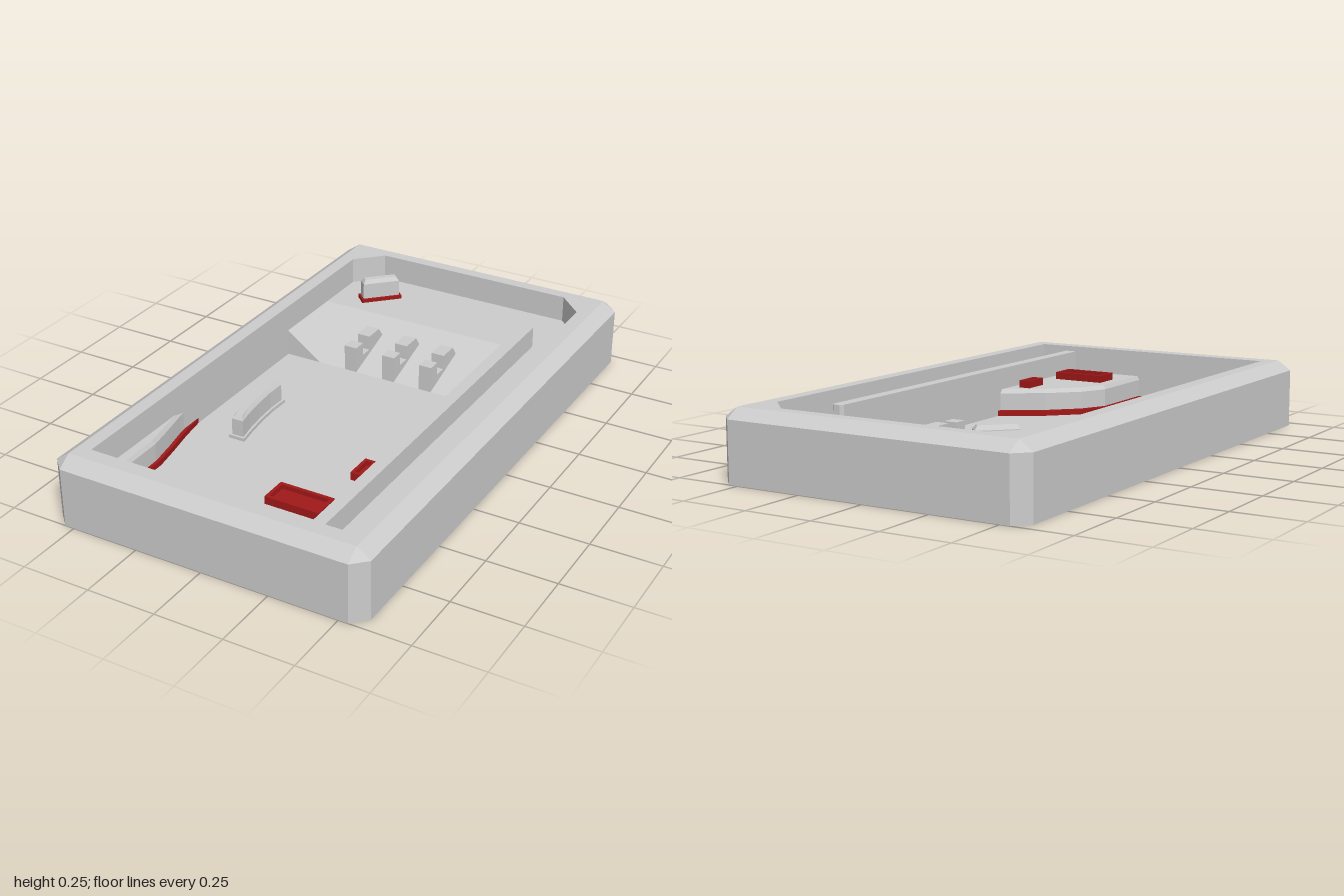
import * as THREE from 'three';

const grey = new THREE.MeshStandardMaterial({ color: 0xcccccc, flatShading: true });
const red = new THREE.MeshStandardMaterial({ color: 0xa01818, flatShading: true });

// Solid through stacked loops; each loop is { y, p: [[x, z], ...] }, counter-clockwise from above
function loft(loops) {
  const pos = [];
  const at = (l, i) => [l.p[i % l.p.length][0], l.y, l.p[i % l.p.length][1]];
  const tri = (a, b, c) => pos.push(...a, ...b, ...c);
  for (let k = 0; k < loops.length - 1; k++) {
    const lo = loops[k], hi = loops[k + 1];
    for (let i = 0; i < lo.p.length; i++) {
      tri(at(lo, i), at(lo, i + 1), at(hi, i + 1));
      tri(at(lo, i), at(hi, i + 1), at(hi, i));
    }
  }
  const cap = (l, up) => {
    const flat = l.p.map(([x, z]) => new THREE.Vector2(x, -z));
    for (const [a, b, c] of THREE.ShapeUtils.triangulateShape(flat, [])) {
      if (up) tri(at(l, a), at(l, b), at(l, c));
      else tri(at(l, a), at(l, c), at(l, b));
    }
  };
  cap(loops[0], false);
  cap(loops[loops.length - 1], true);
  const g = new THREE.BufferGeometry();
  g.setAttribute('position', new THREE.Float32BufferAttribute(pos, 3));
  g.computeVertexNormals();
  return g;
}

const ccw = (p) => (THREE.ShapeUtils.isClockWise(p.map(([x, z]) => new THREE.Vector2(x, -z))) ? [...p].reverse() : p);
const rect = (x0, x1, z0, z1) => [[x1, z1], [x1, z0], [x0, z0], [x0, z1]];

// Extrudes a (z, y) side profile across x
function sideExtrude(profile, x0, x1) {
  const s = new THREE.Shape(profile.map(([z, y]) => new THREE.Vector2(-z, y)));
  const g = new THREE.ExtrudeGeometry(s, { depth: x1 - x0, bevelEnabled: false });
  return g.rotateY(Math.PI / 2).translate(x0, 0, 0);
}

export function createModel() {
  const model = new THREE.Group();
  const add = (name, geo, mat = grey, parent = model) => {
    const m = new THREE.Mesh(geo, mat);
    m.name = name;
    parent.add(m);
    return m;
  };
  const FLOOR = 0.05, DECK = 0.15;

  // Cabinet tray: chamfered outside, bevelled rim, recessed floor
  const outer = [[0.535, 1], [0.585, 0.95], [0.585, -0.95], [0.535, -1],
    [-0.535, -1], [-0.585, -0.95], [-0.585, 0.95], [-0.535, 1]];
  const rim = rect(-0.535, 0.535, -0.95, 0.95).flatMap((c) => [c, c]);
  const opening = [[0.485, 0.895], [0.485, 0.895], [0.485, -0.81], [0.39, -0.905],
    [-0.39, -0.905], [-0.485, -0.81], [-0.485, 0.895], [-0.485, 0.895]];
  add('cabinet', loft([
    { y: 0, p: outer }, { y: 0.215, p: outer }, { y: 0.25, p: rim },
    { y: 0.25, p: opening }, { y: FLOOR, p: opening },
  ]));

  // Raised rear deck with ramp, and the side lane at deck height
  add('rampDeck', sideExtrude([[-0.31, FLOOR], [-0.605, DECK], [-0.905, DECK], [-0.905, FLOOR]], -0.485, 0.34));
  add('laneFloor', loft([{ y: FLOOR, p: rect(0.34, 0.485, -0.905, 0.895) }, { y: DECK, p: rect(0.34, 0.485, -0.905, 0.895) }]));

  // Triangular wedge beside the ramp
  const wedge = [[-0.345, -0.31], [-0.485, -0.605], [-0.485, -0.31]];
  const wedgeTop = [[-0.345, -0.31], [-0.485, -0.605], [-0.485, -0.31]];
  const wedgeGeo = loft([{ y: FLOOR, p: ccw(wedge) }, { y: DECK, p: ccw(wedgeTop) }]);
  const wp = wedgeGeo.attributes.position;
  for (let i = 0; i < wp.count; i++) if (wp.getX(i) > -0.4) wp.setY(i, FLOOR);
  wedgeGeo.computeVertexNormals();
  add('rampWedge', wedgeGeo);

  // Lane divider with a chamfered rear end
  const divider = [[0.38, 0.9], [0.38, -0.65], [0.37, -0.662], [0.345, -0.662], [0.335, -0.65], [0.335, 0.9]];
  add('laneDivider', loft([{ y: FLOOR, p: divider }, { y: 0.23, p: divider }]));

  // Stepped blocks on the ramp
  const step = [[-0.31, FLOOR], [-0.31, 0.15], [-0.36, 0.15], [-0.36, 0.1], [-0.41, 0.1],
    [-0.41, 0.155], [-0.485, 0.155], [-0.515, 0.115], [-0.515, FLOOR]];
  for (const x of [-0.21, -0.05, 0.105]) add('stepBlock', sideExtrude(step, x - 0.025, x + 0.025));

  // Curved corner guards with a red band at the foot
  function guard(name, curve, side, wallX) {
    const plan = (d) => ccw([...curve.map(([x, z]) => [x + side * d * 0.8, z + d * 0.8]), [wallX, 0.91]]);
    const g = new THREE.Group();
    g.name = name;
    model.add(g);
    add('guardBand', loft([{ y: FLOOR, p: plan(0) }, { y: 0.07, p: plan(0) }]), red, g);
    add('guardBody', loft([{ y: FLOOR, p: plan(0.014) }, { y: 0.135, p: plan(0.014) }, { y: 0.15, p: plan(0.024) }]), grey, g);
  }
  guard('leftGuard', [[0.335, 0.3], [0.18, 0.4], [0.08, 0.5], [0.03, 0.6], [0.03, 0.895]], 1, 0.365);
  guard('rightGuard', [[-0.485, 0.3], [-0.47, 0.4], [-0.45, 0.5], [-0.433, 0.6], [-0.43, 0.895]], -1, -0.51);

  // Red trays on top of the left guard
  function tray(name, x0, x1, z0, z1) {
    const r = (i) => rect(x0 + i, x1 - i, z0 + i, z1 - i);
    add(name, loft([{ y: 0.14, p: r(0) }, { y: 0.178, p: r(0) }, { y: 0.178, p: r(0.012) }, { y: 0.162, p: r(0.012) }]), red);
  }
  tray('largeTray', 0.09, 0.29, 0.66, 0.76);
  tray('smallTray', 0.255, 0.3, 0.4, 0.5);

  // Curved deflector on a low flange
  const spine = [[-0.328, 0.02], [-0.33, 0.1], [-0.325, 0.18], [-0.315, 0.26], [-0.303, 0.33]];
  const strip = (w, e) => {
    const s = spine.map(([x, z], i) => [x, z + (i === 0 ? e : i === 4 ? -e : 0)]);
    return ccw([...s.map(([x, z]) => [x + w, z]), ...s.reverse().map(([x, z]) => [x - w, z])]);
  };
  add('curvedDeflector', loft([
    { y: FLOOR, p: strip(0.032, 0) }, { y: 0.062, p: strip(0.032, 0) }, { y: 0.062, p: strip(0.023, 0.009) },
    { y: 0.125, p: strip(0.023, 0.009) }, { y: 0.14, p: strip(0.013, 0.02) },
  ]));

  // Angled deflector with a red foot on the rear deck
  const deflector = new THREE.Group();
  deflector.name = 'angledDeflector';
  deflector.position.set(-0.32, DECK, -0.735);
  deflector.rotation.y = 0.78;
  model.add(deflector);
  const box = (i) => rect(-0.08 + i, 0.08 - i, -0.029 + i, 0.029 - i);
  add('deflectorFoot', loft([{ y: 0, p: box(0) }, { y: 0.014, p: box(0) }]), red, deflector);
  add('deflectorBody', loft([{ y: 0, p: box(0.008) }, { y: 0.075, p: box(0.008) }, { y: 0.09, p: box(0.018) }]), grey, deflector);

  return model;
}
